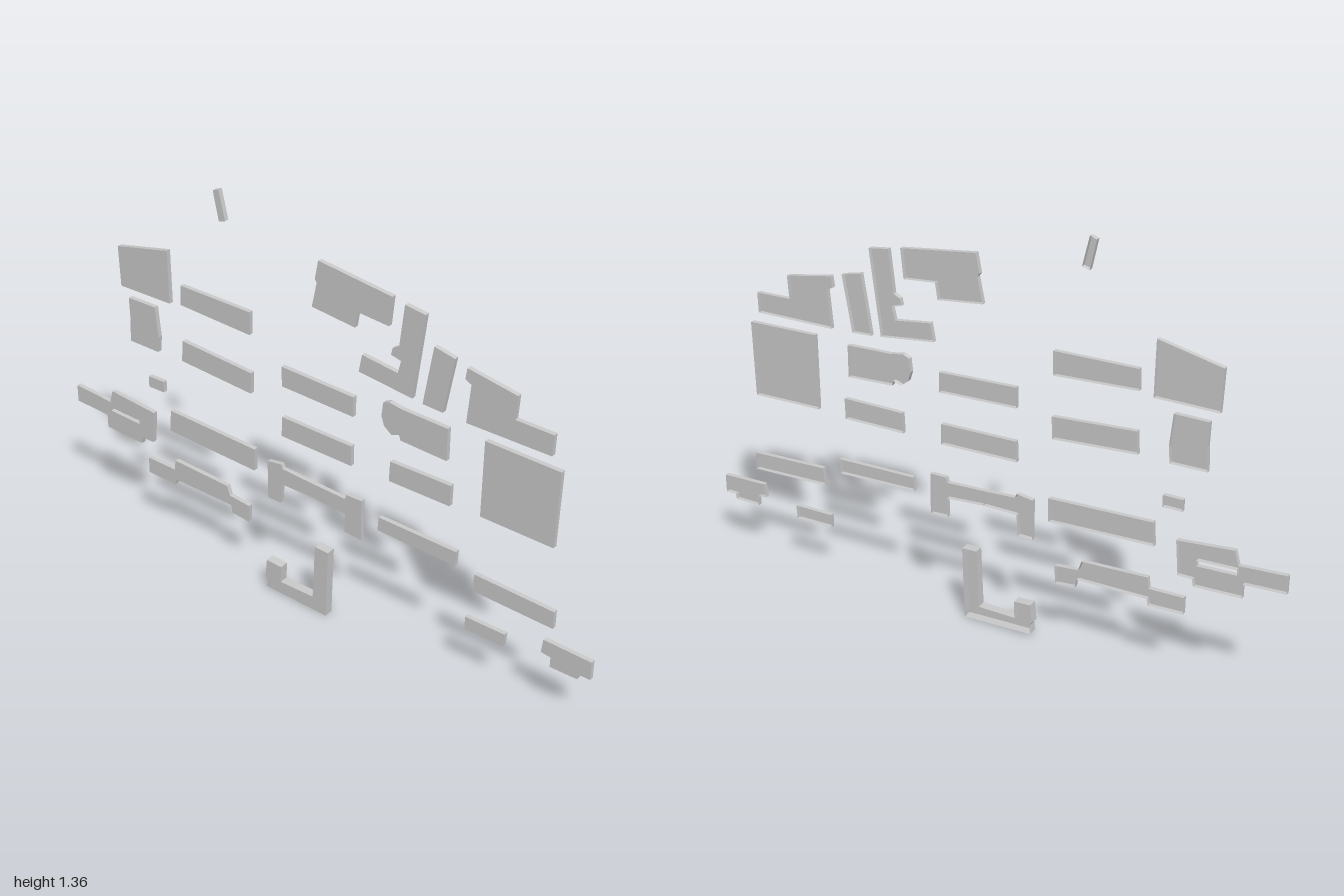
import * as THREE from 'three';

const BACK = -0.0155, LOW = 0.0155, HIGH = 0.031;

const toPoints = (flat) => {
  const pts = [];
  for (let i = 0; i < flat.length; i += 2) pts.push(new THREE.Vector2(flat[i], flat[i + 1]));
  return pts;
};

// Hollow block: outer walls and a front cap, left open at the back
function blockGeometry(outline, depth, hole) {
  const shape = new THREE.Shape(toPoints(outline));
  if (hole) shape.holes.push(new THREE.Path(toPoints(hole)));
  const full = new THREE.ExtrudeGeometry(shape, { depth, bevelEnabled: false });
  const skip = full.groups[0].count / 2; // the rear cap comes first
  const geo = new THREE.BufferGeometry();
  geo.setAttribute('position', new THREE.BufferAttribute(full.attributes.position.array.slice(skip * 3), 3));
  geo.computeVertexNormals();
  return geo.translate(0, 0, BACK);
}

export function createModel() {
  const group = new THREE.Group();
  group.name = 'campusBlocks';
  const grey = new THREE.MeshStandardMaterial({ color: 0xcccccc, side: THREE.DoubleSide });
  grey.name = 'buildingGrey';

  const add = (name, outline, depth = LOW, hole) => {
    const mesh = new THREE.Mesh(blockGeometry(outline, depth, hole), grey);
    mesh.name = name;
    group.add(mesh);
  };

  // Upper row
  add('smallHut', [-0.37, 1.352, -0.348, 1.36, -0.326, 1.265, -0.35, 1.258]);
  add('steppedHall', [0.018, 1.24, 0.278, 1.206, 0.268, 1.11, 0.158, 1.12, 0.15, 1.067, -0.005, 1.085, 0.013, 1.168, 0.006, 1.178]);
  add('cornerWing', [0.321, 1.195, 0.391, 1.185, 0.355, 0.905, 0.166, 0.928, 0.177, 0.987, 0.303, 0.97,
    0.313, 1.013, 0.278, 1.022, 0.283, 1.045, 0.305, 1.056]);
  add('slantedBar', [0.423, 1.097, 0.493, 1.081, 0.46, 0.896, 0.391, 0.9]);
  add('angledHall', [0.534, 1.067, 0.7, 1.037, 0.695, 0.96, 0.82, 0.957, 0.818, 0.889, 0.539, 0.892, 0.55, 1.019, 0.529, 1.03]);
  add('wedgeBlock', [-0.77, 1.054, -0.564, 1.098, -0.562, 0.917, -0.765, 0.917]);

  // Middle rows
  add('longBarUpperLeft', [-0.514, 0.995, -0.24, 0.99, -0.242, 0.912, -0.516, 0.927]);
  add('longBarLeft', [-0.515, 0.8, -0.239, 0.78, -0.242, 0.707, -0.52, 0.727]);
  add('squareHouse', [-0.736, 0.883, -0.626, 0.883, -0.616, 0.778, -0.621, 0.725, -0.738, 0.727, -0.734, 0.81]);
  add('centreBarUpper', [-0.119, 0.845, 0.148, 0.834, 0.148, 0.767, -0.119, 0.777]);
  add('centreBarLower', [-0.119, 0.668, 0.143, 0.662, 0.143, 0.593, -0.122, 0.599]);
  add('roundEndedHall', [0.255, 0.855, 0.276, 0.864, 0.321, 0.856, 0.48, 0.85, 0.48, 0.742, 0.319, 0.75,
    0.314, 0.767, 0.287, 0.757, 0.26, 0.778, 0.25, 0.81]);
  add('rightBar', [0.285, 0.664, 0.499, 0.664, 0.497, 0.593, 0.282, 0.595]);
  add('largeSquareHall', [0.604, 0.857, 0.852, 0.85, 0.846, 0.595, 0.602, 0.601]);
  add('tinyShed', [-0.668, 0.62, -0.605, 0.62, -0.605, 0.581, -0.668, 0.581]);

  // Lower rows
  add('wideBar', [-0.579, 0.522, -0.232, 0.507, -0.234, 0.428, -0.584, 0.444]);
  add('courtyardBlock', [-1, 0.468, -0.85, 0.457, -0.837, 0.503, -0.654, 0.485, -0.664, 0.37, -0.71, 0.37,
    -0.715, 0.347, -0.867, 0.354, -0.867, 0.4, -1, 0.408], LOW,
  [-0.846, 0.442, -0.72, 0.436, -0.722, 0.418, -0.848, 0.424]);
  add('steppedBar', [-0.688, 0.3, -0.574, 0.297, -0.569, 0.334, -0.349, 0.323, -0.339, 0.29, -0.259, 0.282, -0.261, 0.22,
    -0.329, 0.227, -0.334, 0.255, -0.569, 0.26, -0.574, 0.238, -0.688, 0.243]);
  add('archWingLeft', [-0.179, 0.485, -0.124, 0.493, -0.119, 0.478, -0.007, 0.471, -0.007, 0.42, -0.124, 0.42, -0.129, 0.349, -0.179, 0.349]);
  add('archWingRight', [-0.007, 0.471, 0.122, 0.465, 0.127, 0.482, 0.184, 0.482, 0.184, 0.34, 0.122, 0.344, 0.124, 0.41, -0.007, 0.42]);
  add('lowBarRight', [0.249, 0.45, 0.528, 0.443, 0.525, 0.392, 0.245, 0.402]);
  add('lowBarFarRight', [0.595, 0.392, 0.866, 0.38, 0.866, 0.32, 0.59, 0.331]);
  add('shortBar', [0.571, 0.226, 0.71, 0.224, 0.707, 0.177, 0.571, 0.18]);
  add('notchedHouse', [0.839, 0.268, 1, 0.262, 1, 0.199, 0.962, 0.199, 0.959, 0.181, 0.867, 0.181, 0.867, 0.216, 0.834, 0.221]);

  // Taller U-shaped block
  add('tallBlock', [-0.176, 0.115, -0.118, 0.111, -0.12, 0.052, 0.01, 0.052, 0.019, 0.25, 0.07, 0.248, 0.062, 0,
    -0.177, 0.01, -0.174, 0.04, -0.182, 0.052], HIGH);

  return group;
}
